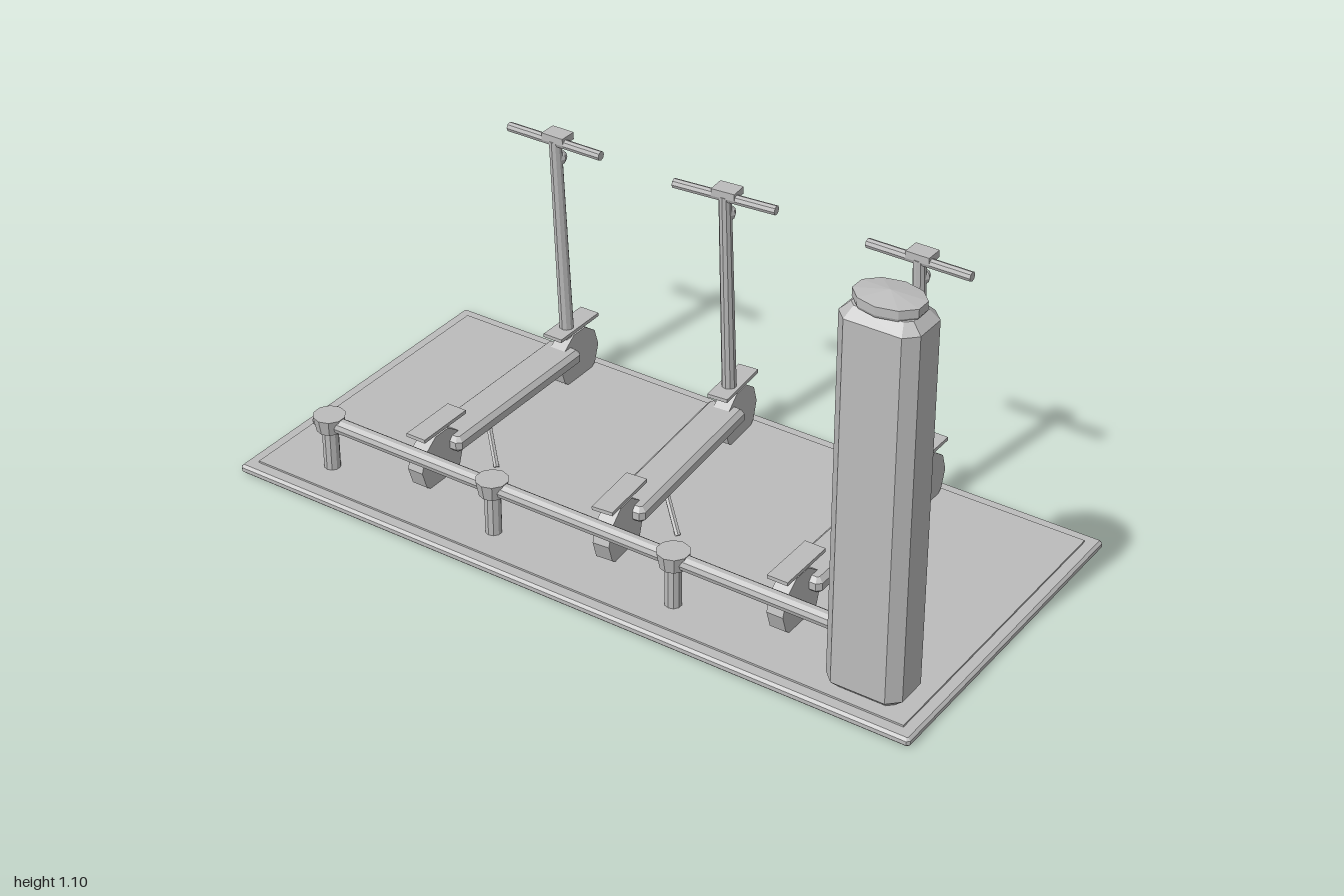
import * as THREE from 'three';

const grey = new THREE.MeshStandardMaterial({ color: 0xbcbcbc, flatShading: true });
grey.name = 'grey';

function add(parent, name, geometry, x = 0, y = 0, z = 0) {
  const mesh = new THREE.Mesh(geometry, grey);
  mesh.name = name;
  mesh.position.set(x, y, z);
  parent.add(mesh);
  return mesh;
}

// Box with cut vertical corners (cut) and bevelled top and bottom edges, centred on its origin
function chamferBox(w, h, d, cut, bevel) {
  const a = w / 2, b = d / 2;
  const outline = [[a, -b + cut], [a, b - cut], [a - cut, b], [-a + cut, b],
    [-a, b - cut], [-a, -b + cut], [-a + cut, -b], [a - cut, -b]];
  const shape = new THREE.Shape(outline.map(p => new THREE.Vector2(...p)));
  const geometry = new THREE.ExtrudeGeometry(shape, {
    depth: h - 2 * bevel, bevelEnabled: true, bevelSegments: 1,
    bevelSize: bevel, bevelThickness: bevel, bevelOffset: -bevel,
  });
  return geometry.translate(0, 0, bevel - h / 2).rotateX(-Math.PI / 2);
}

// Tapered rod between two points
function rod(parent, name, from, to, rFrom, rTo, sides = 10) {
  const a = new THREE.Vector3(...from), b = new THREE.Vector3(...to);
  const dir = b.clone().sub(a);
  const mesh = add(parent, name, new THREE.CylinderGeometry(rTo, rFrom, dir.length(), sides));
  mesh.position.copy(a).add(b).multiplyScalar(0.5);
  mesh.quaternion.setFromUnitVectors(new THREE.Vector3(0, 1, 0), dir.normalize());
  return mesh;
}

function createScooter() {
  const s = new THREE.Group();
  s.name = 'scooter';

  // Wheels with flat fenders above them
  for (const [end, z] of [['steering', -0.3], ['rear', 0.3]]) {
    add(s, end + 'Wheel', new THREE.CylinderGeometry(0.085, 0.085, 0.046, 10).rotateZ(Math.PI / 2), 0, 0.09, z);
    add(s, end + 'Fender', new THREE.BoxGeometry(0.058, 0.01, 0.17), 0, 0.186, z + (z < 0 ? 0.006 : -0.008));
  }

  // Deck
  add(s, 'deck', chamferBox(0.108, 0.045, 0.54, 0.012, 0.012), 0, 0.118, 0);

  // Steering column, lamp, handlebar and display
  rod(s, 'stem', [0, 0.15, -0.276], [0, 0.768, -0.239], 0.02, 0.017);
  add(s, 'lamp', new THREE.SphereGeometry(0.022, 8, 6), 0, 0.712, -0.254);
  rod(s, 'handlebar', [-0.145, 0.765, -0.238], [0.145, 0.765, -0.238], 0.013, 0.013, 8);
  add(s, 'display', new THREE.BoxGeometry(0.066, 0.02, 0.05), 0, 0.775, -0.25);

  // Kickstand
  rod(s, 'kickstand', [0.038, 0.105, 0.125], [0.103, 0.03, 0.182], 0.008, 0.008, 6);
  return s;
}

export function createModel() {
  const model = new THREE.Group();
  model.name = 'scooterStation';

  // Ground slab with a slightly raised pad
  add(model, 'slab', chamferBox(2, 0.025, 0.956, 0.007, 0.007), 0, 0.0125, 0);
  add(model, 'pad', new THREE.BoxGeometry(1.93, 0.01, 0.886), 0, 0.025, 0);

  // Pay column with cap and panels facing the scooters
  const column = new THREE.Group();
  column.name = 'payColumn';
  column.position.set(0.832, 0, 0.357);
  model.add(column);
  add(column, 'columnBody', chamferBox(0.206, 1.032, 0.144, 0.03, 0.025), 0, 0.546, 0);
  const cap = new THREE.LatheGeometry(
    [[0, 1.06], [0.95, 1.06], [1, 1.067], [1, 1.088], [0, 1.1]].map(p => new THREE.Vector2(...p)), 10);
  add(column, 'columnCap', cap).scale.set(0.088, 1, 0.065);
  add(column, 'screen', new THREE.BoxGeometry(0.135, 0.205, 0.009), 0, 0.753, -0.0755);
  add(column, 'cardReader', new THREE.BoxGeometry(0.12, 0.057, 0.009), 0, 0.503, -0.0755);

  // Parking rail on capped posts
  const rail = new THREE.Group();
  rail.name = 'parkingRail';
  rail.position.z = 0.352;
  model.add(rail);
  rod(rail, 'railBar', [-0.834, 0.164, 0], [0.76, 0.164, 0], 0.021, 0.021);
  for (const x of [-0.794, -0.274, 0.268]) {
    add(rail, 'post', new THREE.CylinderGeometry(0.022, 0.022, 0.13, 10), x, 0.09, 0);
    add(rail, 'postCap', new THREE.CylinderGeometry(0.043, 0.035, 0.043, 10), x, 0.165, 0);
  }

  // Three parked scooters, the middle one slightly askew
  for (const [x, turn] of [[-0.543, 0], [0, 0.085], [0.538, 0]]) {
    const scooter = createScooter();
    scooter.position.set(x, 0, -0.062);
    scooter.rotation.y = turn;
    model.add(scooter);
  }
  return model;
}
